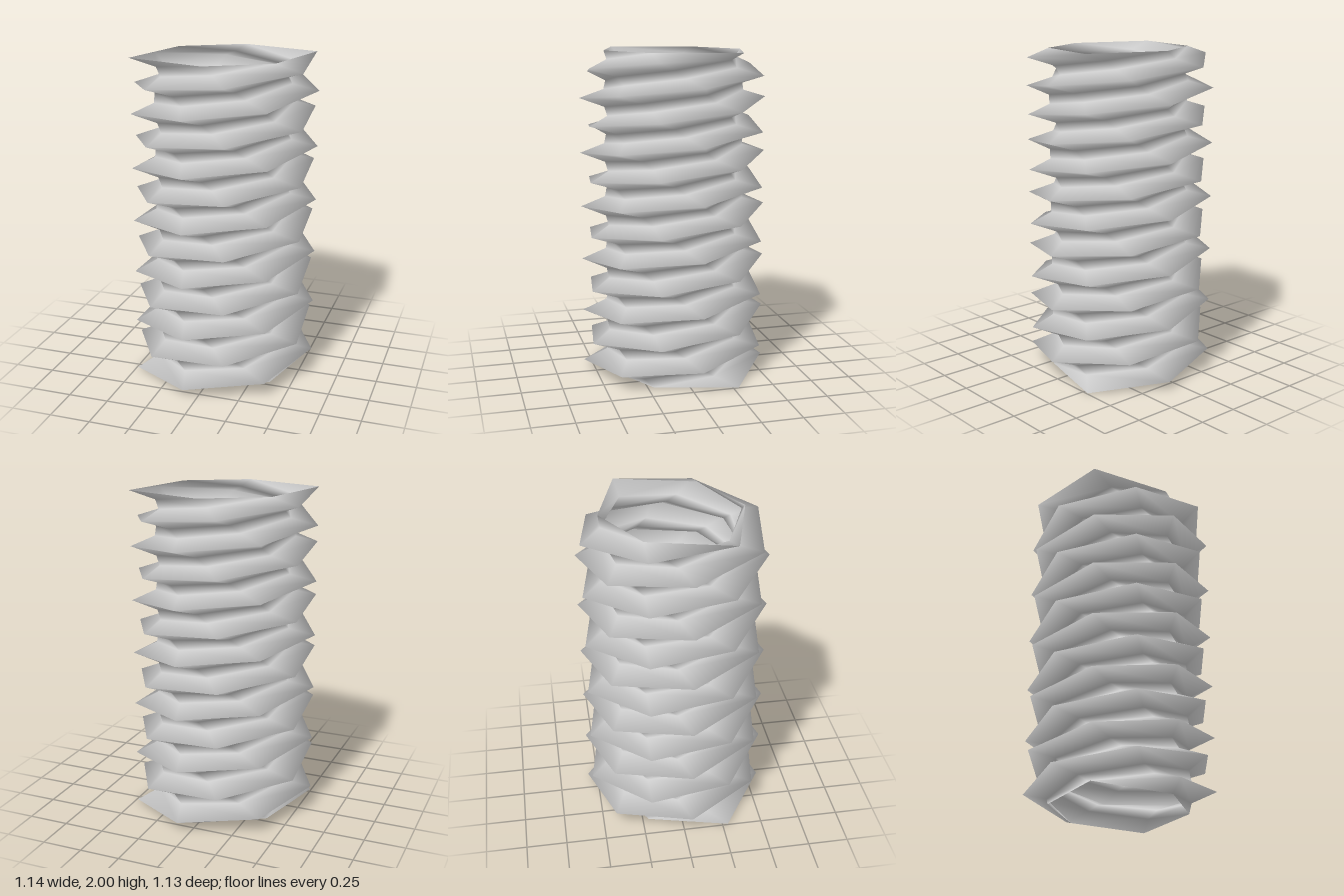
import * as THREE from 'three';

const HEIGHT = 2;
const TURNS = 6;
const STEPS_PER_TURN = 7;
const RIDGE = 0.57;
const ROOT = 0.425;

// Two-start thread: a six-cornered section (ridge, root, root, twice) twisted upward
function twistedThread() {
  const radii = [RIDGE, ROOT, ROOT, RIDGE, ROOT, ROOT];
  const sides = radii.length;
  const slices = TURNS * STEPS_PER_TURN;
  const positions = [];
  const indices = [];

  for (let k = 0; k <= slices; k++) {
    const twist = -Math.PI / 6 - (k / STEPS_PER_TURN) * Math.PI * 2;
    radii.forEach((r, i) => {
      const a = twist + (i / sides) * Math.PI * 2;
      positions.push(r * Math.cos(a), (k / slices) * HEIGHT, r * Math.sin(a));
    });
  }

  // The short diagonal of each twisted quad keeps the core open
  for (let k = 0; k < slices; k++) {
    for (let i = 0; i < sides; i++) {
      const j = (i + 1) % sides;
      const a = k * sides + i, b = k * sides + j;
      const c = a + sides, d = b + sides;
      indices.push(a, c, d, a, d, b);
    }
  }

  const geometry = new THREE.BufferGeometry();
  geometry.setAttribute('position', new THREE.Float32BufferAttribute(positions, 3));
  geometry.setIndex(indices);
  // Shared vertices give smooth shading across ridges and roots
  geometry.computeVertexNormals();
  return geometry;
}

export function createModel() {
  const group = new THREE.Group();
  group.name = 'threadedSleeve';

  // Open, hollow shell
  const material = new THREE.MeshStandardMaterial({ color: 0xcccccc, side: THREE.DoubleSide });
  const thread = new THREE.Mesh(twistedThread(), material);
  thread.name = 'thread';
  group.add(thread);

  return group;
}
